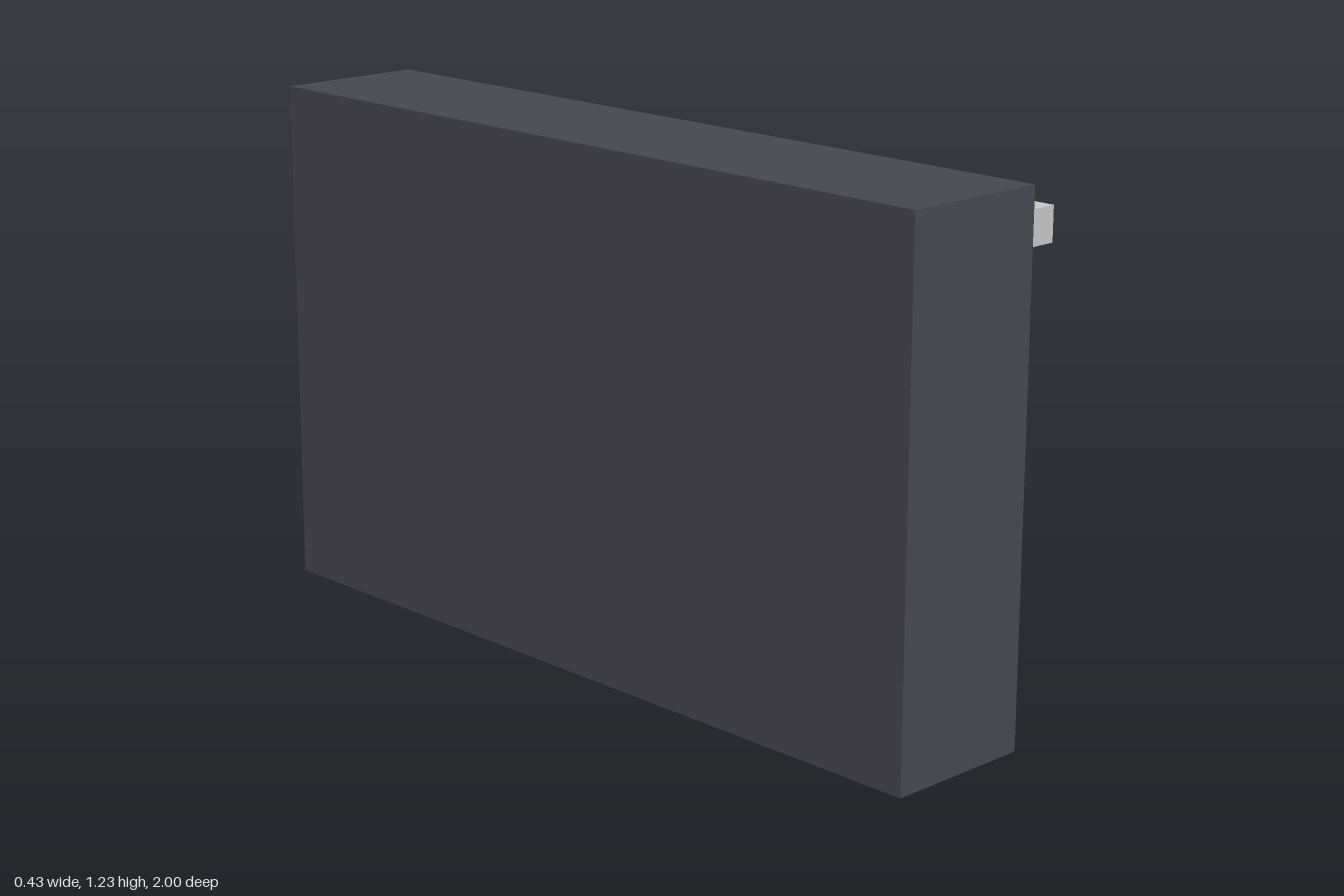
import * as THREE from 'three';

function material(name, hex) {
  const m = new THREE.MeshStandardMaterial({ color: hex });
  m.name = name;
  return m;
}

// Box given by its extents on each axis
function block(name, mat, [x0, x1], [y0, y1], [z0, z1]) {
  const mesh = new THREE.Mesh(new THREE.BoxGeometry(x1 - x0, y1 - y0, z1 - z0), mat);
  mesh.position.set((x0 + x1) / 2, (y0 + y1) / 2, (z0 + z1) / 2);
  mesh.name = name;
  return mesh;
}

export function createModel() {
  const slate = material('slate grey', 0x474750);
  const charcoal = material('charcoal', 0x2d2d2d);
  const steel = material('steel grey', 0xa0a4ac);
  const pale = material('pale grey', 0xc8c8c8);

  const model = new THREE.Group();
  model.name = 'panelledWall';

  // Main slab, recess-coloured panel and top rail on the +x side
  model.add(block('wallBody', slate, [-0.215, 0.151], [0, 1.231], [-1, 1]));
  model.add(block('darkPanel', charcoal, [0.151, 0.183], [0.157, 1.078], [-0.85, 0.85]));
  model.add(block('topRail', pale, [0.151, 0.214], [1.101, 1.18], [-1, 1]));

  // Four evenly spaced upright slats
  for (let i = 0; i < 4; i++) {
    const z = 0.617 - i * 0.4;
    model.add(block(`slat${i + 1}`, steel, [0.183, 0.206], [0.188, 1.047], [z - 0.046, z + 0.046]));
  }
  return model;
}
